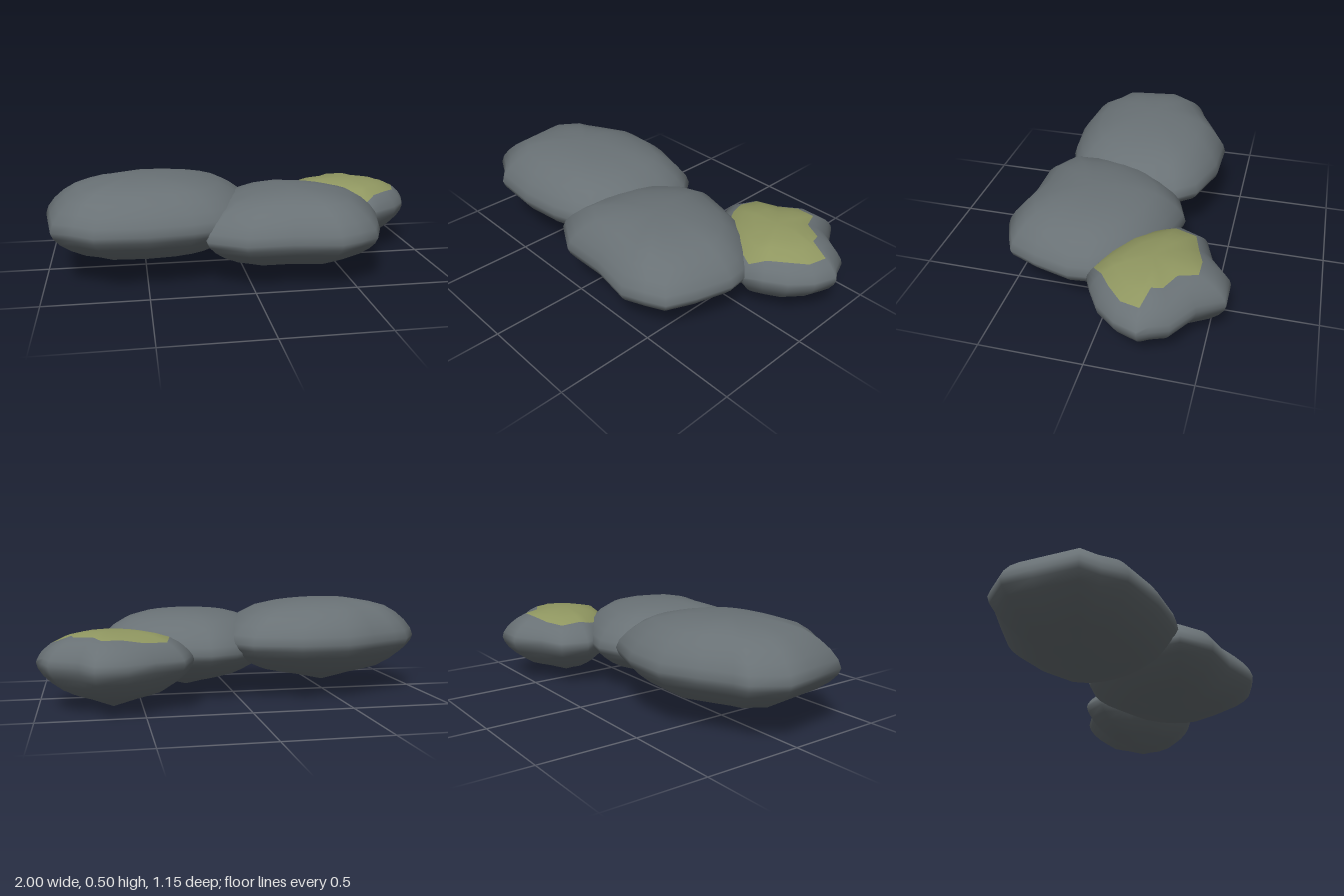
import * as THREE from 'three';

// Height profile against radial fraction: [fraction, share of height]
const UPPER = [[0, 1], [0.3, 0.97], [0.5, 0.89], [0.66, 0.8], [0.82, 0.58], [0.92, 0.36], [0.98, 0.16], [1, 0]];
const LOWER = [[0, 1], [0.33, 0.8], [0.5, 0.71], [0.65, 0.62], [0.8, 0.45], [0.91, 0.28], [0.975, 0.13], [1, 0]];

function sample(profile, s) {
  for (let i = 1; i < profile.length; i++) {
    const [s0, h0] = profile[i - 1], [s1, h1] = profile[i];
    if (s <= s1) return h0 + (h1 - h0) * (s - s0) / (s1 - s0);
  }
  return 0;
}

// A flattened boulder: rings of its plan outline, rising from bottom tip to top.
// Each outline point is [x, z, capFraction]; the cap takes the second material.
function stone(name, { centre: [cx, cz], bottom, middle, top, outline }, materials) {
  const n = outline.length;
  const pos = [cx, bottom, cz];
  const ring = (fraction, height) => outline.forEach(([x, z, cap = 0.5]) => {
    const s = fraction(cap);
    pos.push(cx + (x - cx) * s, height(s), cz + (z - cz) * s);
  });
  const under = (s) => middle - (middle - bottom) * sample(LOWER, s);
  const over = (s) => middle + (top - middle) * sample(UPPER, s);

  LOWER.slice(1).forEach(([s]) => ring(() => s, under));
  const sides = [0.94, 0.8, 0.6, 0.35, 0];
  sides.forEach((k) => ring((cap) => cap + (1 - cap) * k, over));
  const capStart = LOWER.length - 1 + sides.length - 1;
  [0.75, 0.5, 0.25].forEach((k) => ring((cap) => cap * k, over));
  pos.push(cx, top, cz);

  const rows = (pos.length / 3 - 2) / n;
  const last = pos.length / 3 - 1;
  const body = [], cap = [];
  for (let j = 0; j < n; j++) {
    const k = (j + 1) % n;
    body.push(0, 1 + j, 1 + k);
    for (let r = 0; r < rows - 1; r++) {
      const a = 1 + r * n + j, b = 1 + r * n + k;
      (r < capStart ? body : cap).push(a, a + n, b, b, a + n, b + n);
    }
    const base = 1 + (rows - 1) * n;
    cap.push(base + j, last, base + k);
  }
  const geometry = new THREE.BufferGeometry();
  geometry.setAttribute('position', new THREE.Float32BufferAttribute(pos, 3));
  geometry.setIndex([...body, ...cap]);
  geometry.addGroup(0, body.length, 0);
  geometry.addGroup(body.length, cap.length, 1);
  geometry.computeVertexNormals();
  const mesh = new THREE.Mesh(geometry, materials);
  mesh.name = name;
  return mesh;
}

export function createModel() {
  const rock = new THREE.MeshStandardMaterial({ color: 0x697175 });
  rock.name = 'grey rock';
  const moss = new THREE.MeshStandardMaterial({ color: 0x8f9660 });
  moss.name = 'green moss';

  const group = new THREE.Group();
  group.name = 'steppingStones';

  group.add(stone('largeStone', {
    centre: [-0.51, 0.04], bottom: 0.045, middle: 0.29, top: 0.5,
    outline: [
      [0.07, 0.03], [0.06, 0.13], [0.01, 0.25], [-0.07, 0.35], [-0.16, 0.4], [-0.28, 0.44],
      [-0.5, 0.465], [-0.75, 0.445], [-0.85, 0.37], [-0.95, 0.32], [-0.98, 0.1], [-1, -0.05],
      [-0.9, -0.2], [-0.83, -0.225], [-0.68, -0.305], [-0.51, -0.39], [-0.27, -0.385],
      [-0.04, -0.31], [0.04, -0.21], [0.07, -0.1],
    ],
  }, [rock, rock]));

  group.add(stone('middleStone', {
    centre: [0.23, 0.17], bottom: 0.02, middle: 0.24, top: 0.442,
    outline: [
      [0.71, 0.16], [0.66, 0.34], [0.6, 0.48], [0.51, 0.525], [0.4, 0.57], [0.18, 0.53],
      [-0.05, 0.53], [-0.22, 0.43], [-0.23, 0.32], [-0.24, 0.19], [-0.21, 0.03], [-0.11, -0.12],
      [0.02, -0.24], [0.16, -0.29], [0.31, -0.25], [0.47, -0.2], [0.59, -0.11], [0.66, -0.02],
      [0.7, 0.06],
    ],
  }, [rock, rock]));

  // Small stone with a moss cap
  group.add(stone('smallMossyStone', {
    centre: [0.64, -0.23], bottom: 0, middle: 0.23, top: 0.38,
    outline: [
      [1, -0.24, 0.8], [0.96, -0.13, 0.82], [0.88, -0.03, 0.78], [0.78, 0.03, 0.8],
      [0.7, 0.07, 0.88], [0.55, 0.02, 0.82], [0.42, -0.05, 0.8], [0.33, -0.16, 0.8],
      [0.29, -0.22, 0.77], [0.25, -0.3, 0.7], [0.31, -0.43, 0.76], [0.45, -0.48, 0.74],
      [0.58, -0.58, 0.62], [0.73, -0.58, 0.62], [0.8, -0.46, 0.56], [0.94, -0.37, 0.6],
      [0.97, -0.29, 0.58],
    ],
  }, [rock, moss]));

  return group;
}
